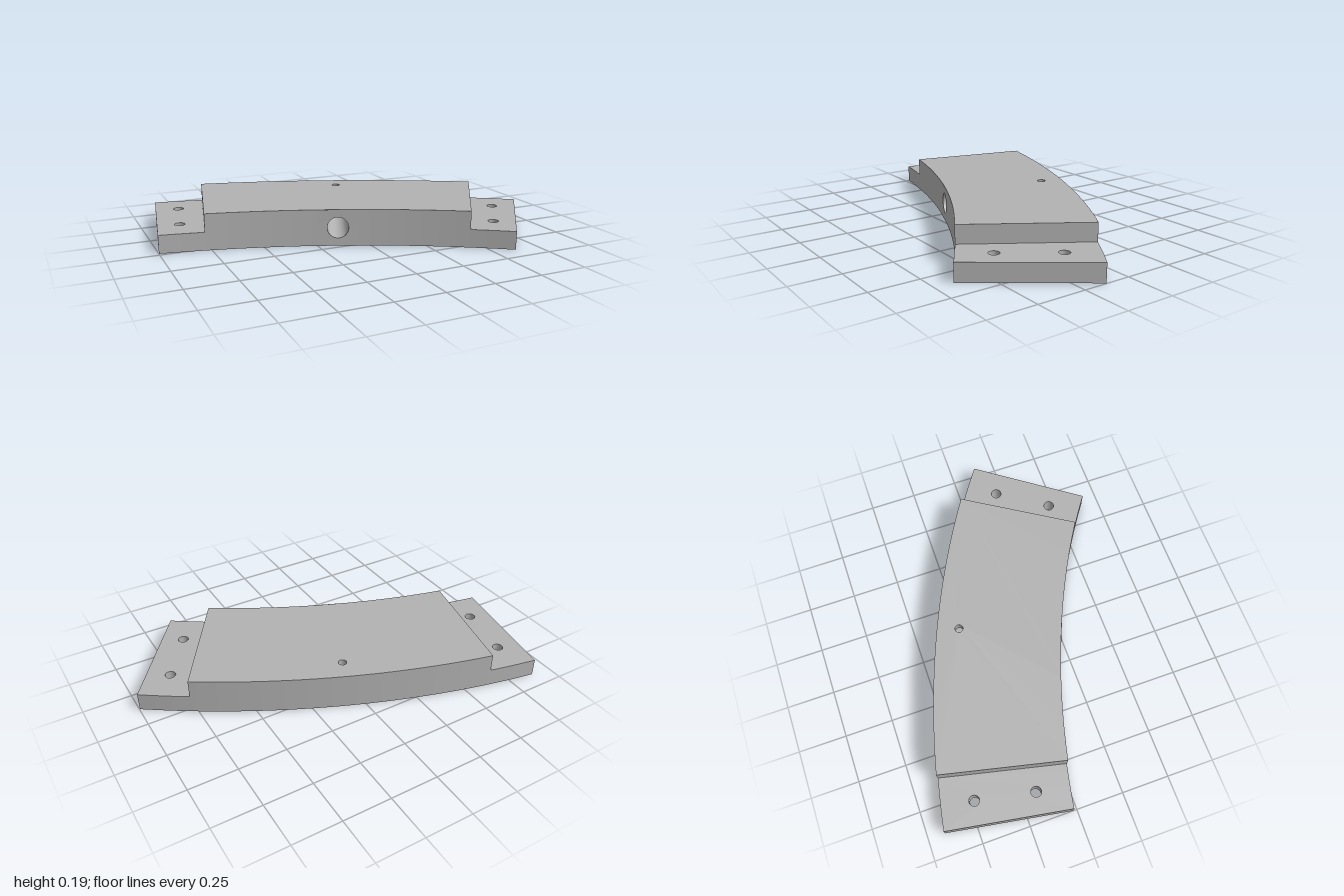
import * as THREE from 'three';

const rad = THREE.MathUtils.degToRad;
const RI = 3.918, RO = 4.568;            // inner and outer arc radius
const H = 0.188, STEP = 0.094;           // full height and lap height
const A = [9.76, 13.04, 32.36, 35.64].map(rad); // end, shoulder, shoulder, end
const MID = rad(22.68), BORE = 0.054, BORE_Y = 0.094, BORE_END = 4.48;

const polar = (r, a) => new THREE.Vector2(r * Math.sin(a), r * Math.cos(a));

// Ring sector outline with round holes given as [radius, angle, size]
function sector(a0, a1, n, holes = []) {
  const pts = [];
  for (let i = 0; i <= n; i++) pts.push(polar(RI, a0 + (a1 - a0) * i / n));
  for (let i = n; i >= 0; i--) pts.push(polar(RO, a0 + (a1 - a0) * i / n));
  const shape = new THREE.Shape(pts);
  for (const [r, a, size] of holes) {
    const c = polar(r, a);
    shape.holes.push(new THREE.Path().absarc(c.x, c.y, size, 0, Math.PI * 2, true));
  }
  return shape;
}

// Upright strip of a cylinder between two angles
function arcWall(r, a0, a1, n) {
  return new THREE.CylinderGeometry(r, r, H, n, 1, true, Math.PI - a1, a1 - a0)
    .translate(0, H / 2, 0);
}

export function createModel() {
  const grey = new THREE.MeshStandardMaterial({ color: 0xb2b2b2, side: THREE.DoubleSide });
  grey.name = 'grey';
  const model = new THREE.Group();
  model.name = 'curvedSegment';
  const ring = new THREE.Group();
  ring.name = 'arcBody';
  ring.position.set(-1.664, 0, 3.84);    // centre of the arcs
  model.add(ring);
  const add = (name, geometry) => {
    const mesh = new THREE.Mesh(geometry, grey);
    mesh.name = name;
    ring.add(mesh);
    return mesh;
  };

  // Half-height lap ends, each with two bolt holes
  for (const [name, a0, a1, ah] of [
    ['rightLap', A[0], A[1], rad(11.34)],
    ['leftLap', A[2], A[3], rad(34.03)],
  ]) {
    const shape = sector(a0, a1, 6, [[4.09, ah, 0.027], [4.4, ah, 0.027]]);
    add(name, new THREE.ExtrudeGeometry(shape, {
      depth: STEP, bevelEnabled: false, curveSegments: 16,
    }).rotateX(-Math.PI / 2));
  }

  // Middle block: top with pin hole, bottom, outer wall
  const pin = [4.453, MID, 0.021];
  add('topFace', new THREE.ShapeGeometry(sector(A[1], A[2], 28, [pin]), 16)
    .rotateX(-Math.PI / 2).translate(0, H, 0));
  add('bottomFace', new THREE.ShapeGeometry(sector(A[1], A[2], 28))
    .rotateX(Math.PI / 2).scale(1, 1, -1));
  add('outerWall', arcWall(RO, A[1], A[2], 28));

  // Inner wall on both sides of the bore
  const half = 0.1 / RI;
  add('innerWallRight', arcWall(RI, A[1], MID - half, 13));
  add('innerWallLeft', arcWall(RI, MID + half, A[2], 13));

  // Bent patch around the bore mouth
  const patch = new THREE.Shape([[-0.1, 0], [0.1, 0], [0.1, H], [-0.1, H]]
    .map(([x, y]) => new THREE.Vector2(x, y)));
  patch.holes.push(new THREE.Path().absarc(0, BORE_Y, BORE, 0, Math.PI * 2, true));
  const bent = new THREE.ShapeGeometry(patch, 32);
  const pos = bent.attributes.position;
  for (let i = 0; i < pos.count; i++) {
    const p = polar(RI, MID + pos.getX(i) / RI);
    pos.setXYZ(i, p.x, pos.getY(i), -p.y);
  }
  bent.computeVertexNormals();
  add('boreMouth', bent);

  // Blind radial bore and its end
  const depth = BORE_END - RI;
  const place = (mesh, r) => {
    const p = polar(r, MID);
    mesh.position.set(p.x, BORE_Y, -p.y);
    mesh.rotation.y = -MID;
  };
  place(add('bore', new THREE.CylinderGeometry(BORE, BORE, depth, 32, 1, true)
    .rotateX(Math.PI / 2)), RI + depth / 2);
  place(add('boreEnd', new THREE.CircleGeometry(BORE, 32)), BORE_END);

  // Pin hole running down to the bore
  const c = polar(pin[0], MID), top = BORE_Y + BORE;
  add('pinHole', new THREE.CylinderGeometry(pin[2], pin[2], H - top, 20, 1, true)
    .translate(c.x, (H + top) / 2, -c.y));

  // Shoulders above the laps
  [A[1], A[2]].forEach((a, i) => {
    const p = polar((RI + RO) / 2, a);
    add(i ? 'leftShoulder' : 'rightShoulder', new THREE.PlaneGeometry(RO - RI, H - STEP)
      .rotateY(Math.PI / 2 - a + (i ? 0 : Math.PI))
      .translate(p.x, (H + STEP) / 2, -p.y));
  });
  return model;
}
